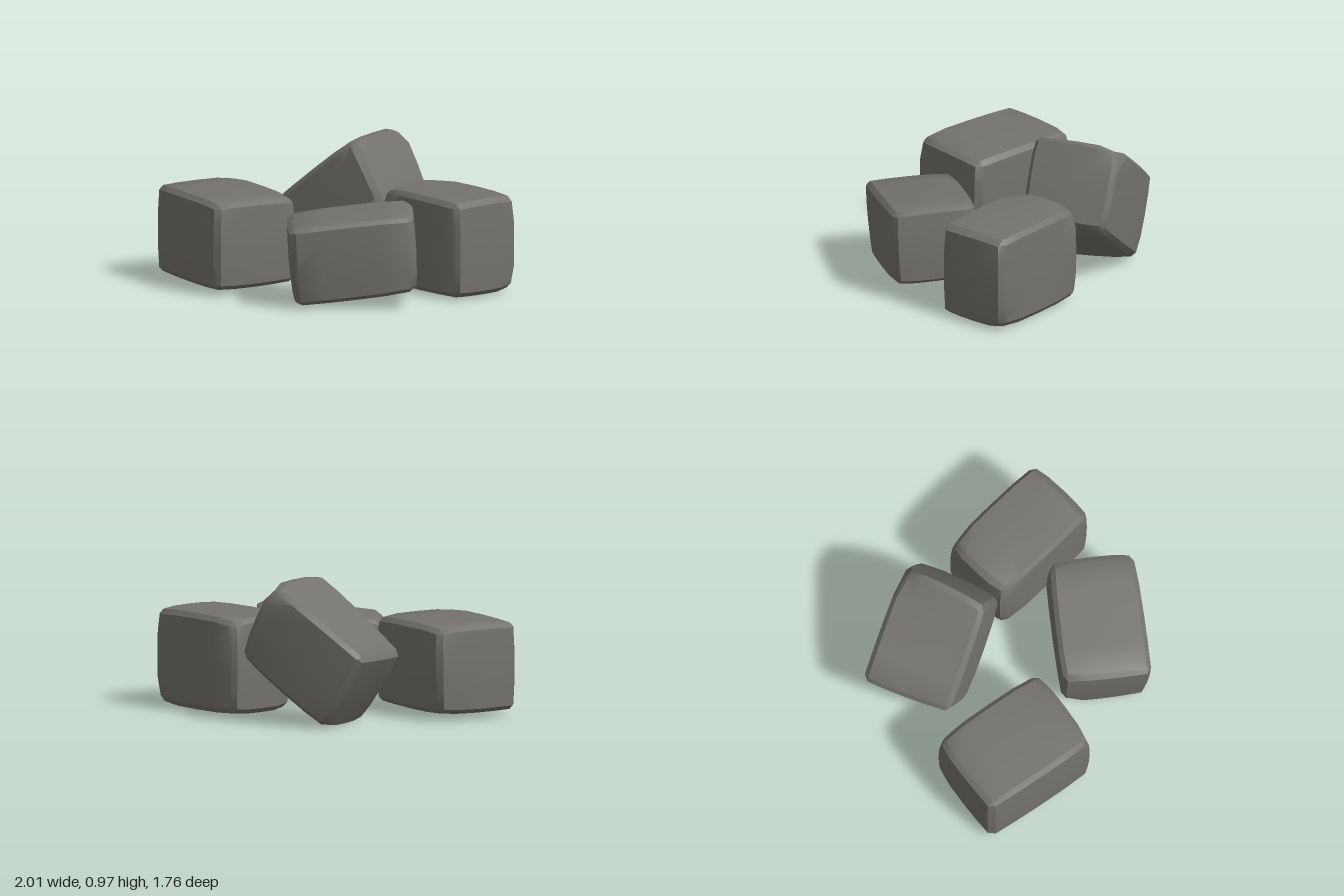
import * as THREE from 'three';
import { toCreasedNormals } from 'three/addons/utils/BufferGeometryUtils.js';

// Grid lines packed towards the edges, so the chamfers stay crisp
const LINES = [-1, -0.9, -0.5, 0, 0.5, 0.9, 1];

// Move a point in from an edge or corner lying beyond the cutting plane
function cut(p, axes, limit) {
  const over = axes.reduce((sum, a) => sum + Math.abs(p[a]), 0) - limit;
  if (over > 0) for (const a of axes) p[a] -= Math.sign(p[a]) * over / axes.length;
}

// A rough hewn block spanned by eight corners, with chamfered edges,
// corners chipped by given depths and slightly bulging faces
function stoneGeometry(corners, chips) {
  const geo = new THREE.BoxGeometry(2, 2, 2, 6, 6, 6);
  const pos = geo.attributes.position;
  for (let i = 0; i < pos.count; i++) {
    const p = [pos.getX(i), pos.getY(i), pos.getZ(i)].map((t) => LINES[Math.round((t + 1) * 3)]);
    const octant = (p[0] > 0 ? 1 : 0) + (p[1] > 0 ? 2 : 0) + (p[2] > 0 ? 4 : 0);
    cut(p, [0, 1], 1.9);
    cut(p, [1, 2], 1.9);
    cut(p, [0, 2], 1.9);
    cut(p, [0, 1, 2], 3 - chips[octant]);
    const q = p.map((v, a) => v * (1 - 0.025 * (p[(a + 1) % 3] ** 2 + p[(a + 2) % 3] ** 2)));
    // Blend the eight corners
    const v = new THREE.Vector3();
    corners.forEach((corner, c) => {
      const w = [1, 2, 4].reduce((m, bit, a) => m * (1 + (c & bit ? q[a] : -q[a])) / 2, 1);
      v.addScaledVector(new THREE.Vector3(...corner), w);
    });
    pos.setXYZ(i, v.x, v.y, v.z);
  }
  return toCreasedNormals(geo, 0.6);
}

export function createModel() {
  const group = new THREE.Group();
  group.name = 'stonePile';
  const stone = new THREE.MeshStandardMaterial({ color: 0x74726c });
  stone.name = 'grey stone';

  // Corners run along the length first, then up, then from back to front
  const stones = [
    { name: 'frontRightStone', chips: [0.25, 0.2, 0.3, 0.28, 0.2, 0.22, 0.2, 0.28], corners: [
      [-0.92, 0.03, 0.12], [-0.045, 0.03, 0.26], [-0.92, 0.65, 0.11], [-0.045, 0.64, 0.25],
      [-1.02, 0.025, 0.75], [-0.16, 0.02, 0.9], [-1.02, 0.65, 0.75], [-0.16, 0.65, 0.9]] },
    { name: 'frontLeftStone', chips: [0.35, 0.2, 0.25, 0.25, 0.16, 0.25, 0.18, 0.25], corners: [
      [0.02, 0.03, 0.4], [0.55, 0.13, -0.29], [0.0, 0.57, 0.43], [0.55, 0.67, -0.25],
      [0.5, 0.0, 0.76], [1.03, 0.1, 0.09], [0.5, 0.56, 0.83], [1.03, 0.65, 0.12]] },
    { name: 'backLeftStone', chips: [0.25, 0.3, 0.35, 0.25, 0.3, 0.2, 0.38, 0.22], corners: [
      [0.14, 0.0, -0.82], [1.0, 0.0, -0.82], [0.14, 0.68, -0.82], [1.0, 0.68, -0.82],
      [0.14, 0.0, -0.275], [1.0, 0.0, -0.275], [0.14, 0.68, -0.275], [1.0, 0.68, -0.275]] },
    // Leaning block propped between the others
    { name: 'leaningStone', chips: [0.25, 0.25, 0.15, 0.4, 0.25, 0.25, 0.15, 0.25], corners: [
      [-0.65, -0.03, -0.69], [0.01, 0.45, -0.92], [-0.95, 0.5, -0.58], [-0.25, 1.0, -0.85],
      [-0.37, -0.05, -0.1], [0.2, 0.48, -0.32], [-0.68, 0.46, 0.02], [-0.06, 1.0, -0.22]] },
  ];
  for (const { name, corners, chips } of stones) {
    const mesh = new THREE.Mesh(stoneGeometry(corners, chips), stone);
    mesh.name = name;
    group.add(mesh);
  }
  return group;
}
